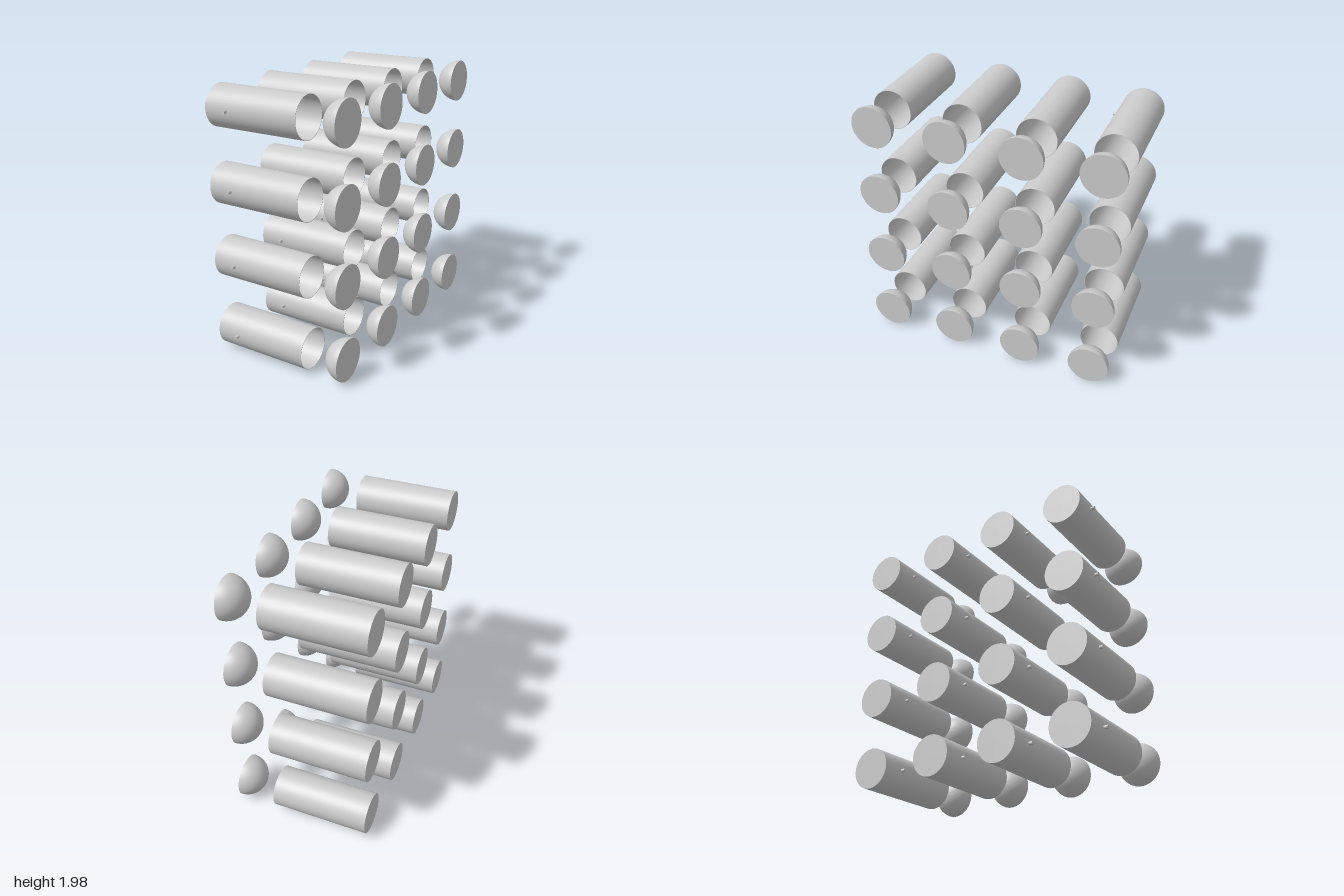
import * as THREE from 'three';
import { toCreasedNormals } from 'three/addons/utils/BufferGeometryUtils.js';

const COUNT = 4, STEP = 0.555;
const Y0 = 0.158, Z0 = -0.843;      // centre of the first unit in the grid
const TUBE_R = 0.151, WALL = 0.003; // thin-walled tube
const DOME_R = 0.157;

// Lathe around the x axis; profile pairs are [radius, x]
function latheX(profile, segments) {
  const points = profile.map(([r, x]) => new THREE.Vector2(r, x));
  const geometry = new THREE.LatheGeometry(points, segments);
  geometry.rotateZ(-Math.PI / 2);
  return toCreasedNormals(geometry, 0.6);
}

export function createModel() {
  const model = new THREE.Group();
  model.name = 'tubeRack';
  const material = new THREE.MeshStandardMaterial({ color: 0xcccccc, side: THREE.DoubleSide });

  // Tube: closed at -x, open at +x
  const tubeGeometry = latheX([
    [0, -0.512], [TUBE_R, -0.512], [TUBE_R, 0.22],
    [TUBE_R - WALL, 0.22], [TUBE_R - WALL, -0.507], [0, -0.507],
  ], 48);

  // Dome: round towards the tube, flat on the outside
  const arc = [];
  for (let i = 0; i <= 16; i++) {
    const a = (i / 16) * Math.PI / 2;
    arc.push([DOME_R * Math.sin(a), 0.512 - DOME_R * Math.cos(a)]);
  }
  const domeGeometry = latheX([...arc, [0, 0.512]], 48);

  // Small peg on the front of each tube
  const pegGeometry = new THREE.CylinderGeometry(0.013, 0.013, 0.038, 16);
  pegGeometry.rotateX(Math.PI / 2);
  pegGeometry.translate(-0.337, 0, 0.159);

  const parts = { tube: tubeGeometry, dome: domeGeometry, peg: pegGeometry };
  for (let row = 0; row < COUNT; row++) {
    for (let column = 0; column < COUNT; column++) {
      const unit = new THREE.Group();
      unit.name = `tubeUnit${row + 1}_${column + 1}`;
      for (const [name, geometry] of Object.entries(parts)) {
        const mesh = new THREE.Mesh(geometry, material);
        mesh.name = name;
        unit.add(mesh);
      }
      unit.position.set(0, Y0 + row * STEP, Z0 + column * STEP);
      model.add(unit);
    }
  }
  return model;
}
